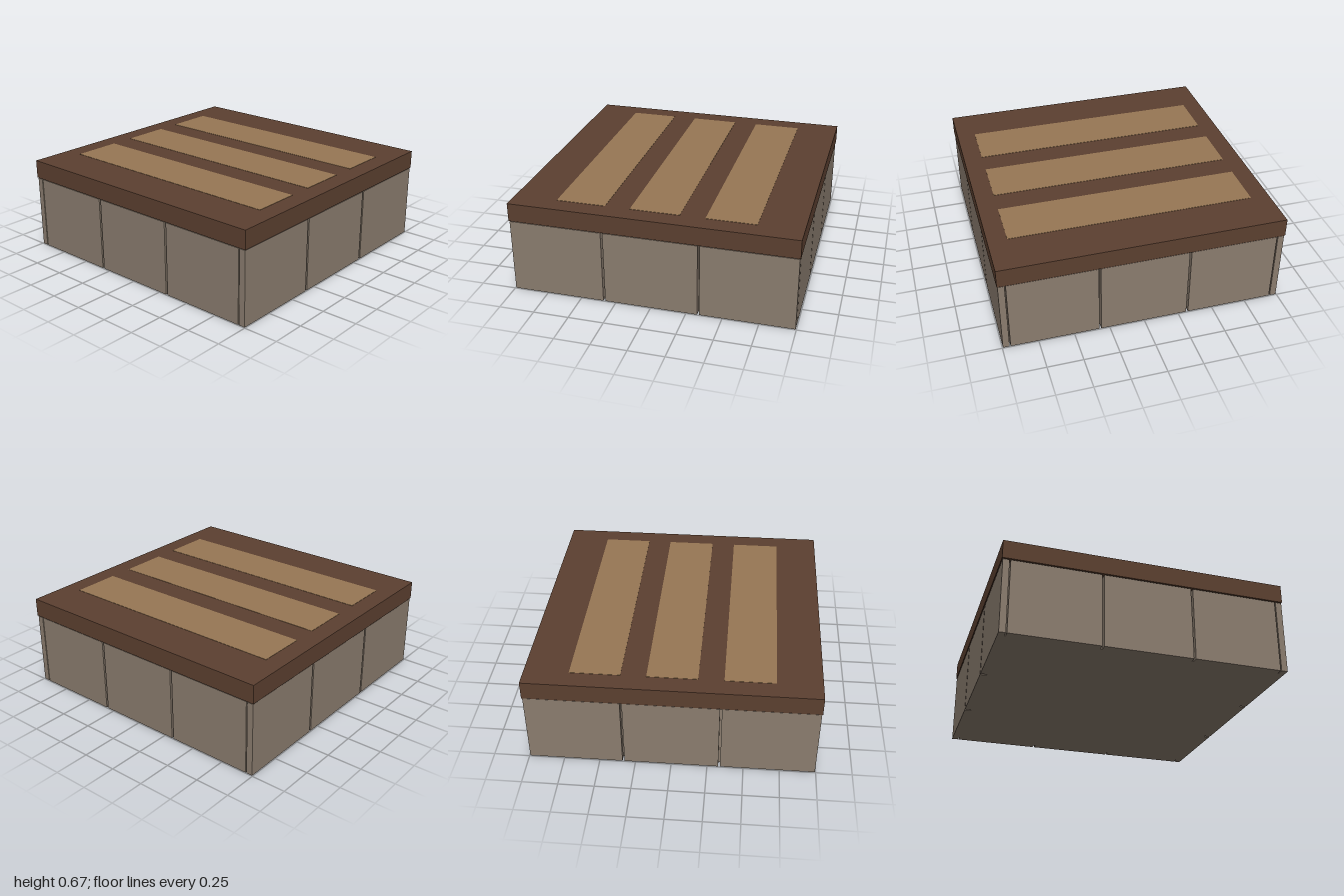
import * as THREE from 'three';

export function createModel() {
  const model = new THREE.Group();
  const stone = new THREE.MeshStandardMaterial({ color: 0x8b7d6f });
  const darkWood = new THREE.MeshStandardMaterial({ color: 0x5c4030 });
  const lightWood = new THREE.MeshStandardMaterial({ color: 0x977754 });

  function box(name, material, size, position, parent = model) {
    const mesh = new THREE.Mesh(new THREE.BoxGeometry(...size), material);
    mesh.name = name;
    mesh.position.set(...position);
    parent.add(mesh);
    return mesh;
  }

  // Solid core behind the stone facing
  box('core', stone, [1.9, 0.535, 1.9], [0, 0.2675, 0]);

  // Stone facing: three slabs per side, with narrow joints between them
  const height = 0.53, thickness = 0.045, joint = 0.014;
  function facing(name, span, angle) {
    const side = new THREE.Group();
    side.name = name;
    side.rotation.y = angle;
    const width = (span - 2 * joint) / 3;
    for (let i = -1; i <= 1; i++) {
      box('stoneSlab', stone, [width, height, thickness],
        [i * (width + joint), height / 2, 0.995 - thickness / 2], side);
    }
    model.add(side);
  }
  facing('frontFacing', 1.99, 0);
  facing('backFacing', 1.99, Math.PI);
  facing('leftFacing', 1.885, Math.PI / 2);
  facing('rightFacing', 1.885, -Math.PI / 2);

  // Overhanging wooden top with three inlaid planks
  box('woodenTop', darkWood, [2, 0.132, 2], [0, 0.602, 0]);
  for (let i = -1; i <= 1; i++) {
    box('inlaidPlank', lightWood, [0.346, 0.02, 1.733], [i * 0.52, 0.66, 0]);
  }

  return model;
}
